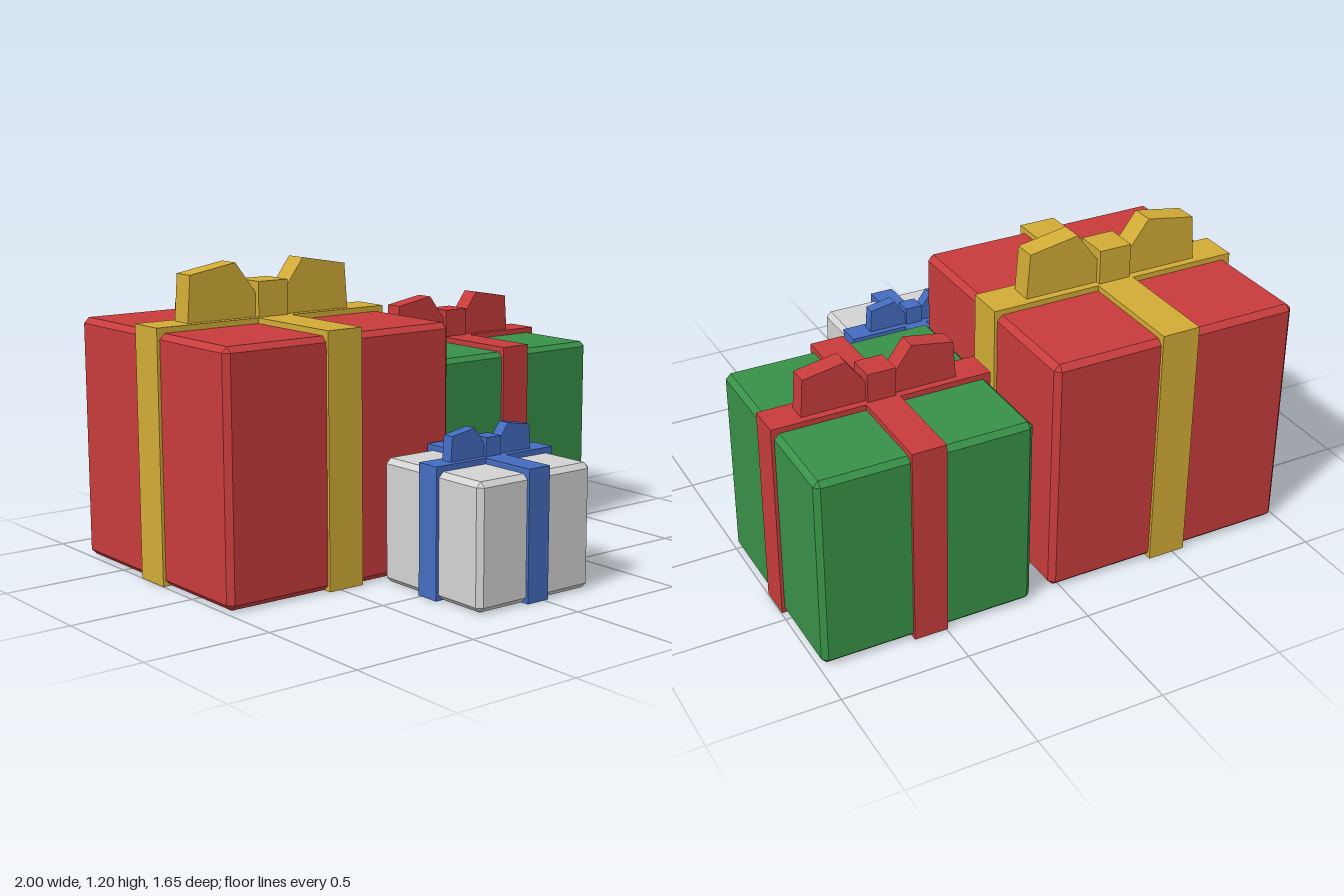
import * as THREE from 'three';
import { ConvexGeometry } from 'three/addons/geometries/ConvexGeometry.js';

function paint(name, color) {
  const m = new THREE.MeshStandardMaterial({ color });
  m.name = name;
  return m;
}

// Box with every edge cut at 45 degrees, standing on y = 0
function chamferedBox(w, h, d, c) {
  const points = [];
  for (const sx of [-1, 1]) for (const sy of [-1, 1]) for (const sz of [-1, 1]) {
    for (let axis = 0; axis < 3; axis++) {
      const cut = [c, c, c];
      cut[axis] = 0;
      points.push(new THREE.Vector3(sx * (w / 2 - cut[0]), sy * (h / 2 - cut[1]), sz * (d / 2 - cut[2])));
    }
  }
  return new ConvexGeometry(points).translate(0, h / 2, 0);
}

function standingBox(w, h, d) {
  return new THREE.BoxGeometry(w, h, d).translate(0, h / 2, 0);
}

// Solid bow loop, extruded through its depth; side is -1 or 1
function bowLoop(side, s) {
  const outline = [[0.06, 0], [0.373, 0], [0.36, 0.18], [0.157, 0.215], [0.06, 0.085]];
  const shape = new THREE.Shape(outline.map(([x, y]) => new THREE.Vector2(side * x * s, y * s)));
  const depth = 0.092 * s;
  return new THREE.ExtrudeGeometry(shape, { depth, bevelEnabled: false }).translate(0, 0, -depth / 2);
}

function gift(name, { x, z, width, height, ribbonWidth, bowScale, bevel, paper, ribbon }) {
  const group = new THREE.Group();
  group.name = name;
  group.position.set(x, 0, z);
  const add = (part, geometry, material, y = 0) => {
    const mesh = new THREE.Mesh(geometry, material);
    mesh.name = part;
    mesh.position.y = y;
    group.add(mesh);
  };

  // Wrapped box, raised a hair so the ribbon passes beneath it
  add('wrappedBox', chamferedBox(width, height - 0.002, width, bevel), paper, 0.002);

  // Crossed ribbon bands
  const span = width + 0.024, top = height + 0.022;
  add('ribbonAcross', standingBox(span, top, ribbonWidth), ribbon);
  add('ribbonAlong', standingBox(ribbonWidth, top, span), ribbon);

  // Bow
  add('bowKnot', standingBox(0.135 * bowScale, 0.138 * bowScale, 0.135 * bowScale), ribbon, top);
  add('bowLoopRight', bowLoop(-1, bowScale), ribbon, top);
  add('bowLoopLeft', bowLoop(1, bowScale), ribbon, top);
  return group;
}

export function createModel() {
  const red = paint('red', 0xc83c3c);
  const green = paint('green', 0x389148);
  const gold = paint('gold', 0xd2ac36);
  const blue = paint('blue', 0x436cc0);
  const silver = paint('silver', 0xd3d3d3);

  const model = new THREE.Group();
  model.name = 'giftBoxes';
  model.add(
    gift('largeGift', {
      x: -0.473, z: -0.28, width: 1.03, height: 0.964, ribbonWidth: 0.155,
      bowScale: 1, bevel: 0.022, paper: red, ribbon: gold,
    }),
    gift('mediumGift', {
      x: 0.561, z: -0.391, width: 0.848, height: 0.778, ribbonWidth: 0.135,
      bowScale: 0.825, bevel: 0.02, paper: green, ribbon: red,
    }),
    gift('smallGift', {
      x: -0.03, z: 0.535, width: 0.552, height: 0.484, ribbonWidth: 0.1,
      bowScale: 0.53, bevel: 0.02, paper: silver, ribbon: blue,
    }),
  );
  return model;
}
